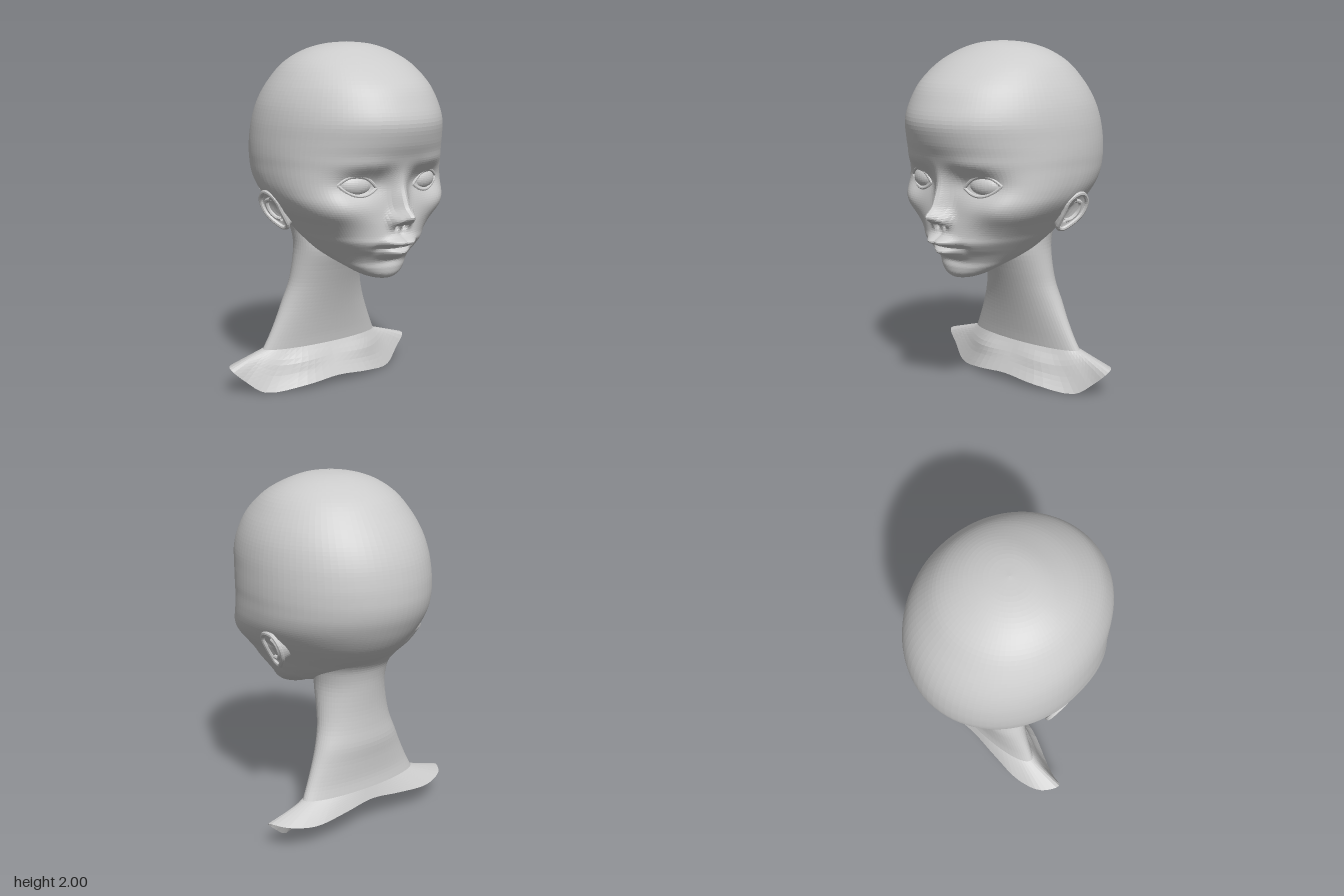
import * as THREE from 'three';

const CX = 0.025; // the head sits slightly off the neck axis
const V = (x, y, z) => new THREE.Vector3(x, y, z);
const mat = new THREE.MeshStandardMaterial({ color: 0xcccccc, flatShading: true, side: THREE.DoubleSide });
const bell = (v, c, s) => Math.exp(-0.5 * ((v - c) / s) ** 2);

// Skin a list of closed rings (top ring first, points running from front to +x)
function loft(name, rings) {
  const n = rings[0].length, pos = [], idx = [];
  rings.forEach(r => r.forEach(p => pos.push(p.x, p.y, p.z)));
  for (let i = 0; i < rings.length - 1; i++) {
    for (let j = 0; j < n; j++) {
      const k = (j + 1) % n, a = i * n + j, b = a + n, c = i * n + k, d = c + n;
      idx.push(a, b, c, b, d, c);
    }
  }
  const g = new THREE.BufferGeometry();
  g.setAttribute('position', new THREE.Float32BufferAttribute(pos, 3));
  g.setIndex(idx);
  g.computeVertexNormals();
  const m = new THREE.Mesh(g, mat);
  m.name = name;
  return m;
}

// Smoothly subdivide rows of section values
function refine(rows, k) {
  const out = [], at = i => rows[Math.max(0, Math.min(rows.length - 1, i))];
  for (let i = 0; i < rows.length - 1; i++) {
    for (let s = 0; s < k; s++) {
      const t = s / k;
      out.push(rows[i].map((p1, c) => {
        const p0 = at(i - 1)[c], p2 = at(i + 1)[c], p3 = at(i + 2)[c];
        return p1 + 0.5 * t * (p2 - p0 + t * (2 * p0 - 5 * p1 + 4 * p2 - p3 + t * (3 * (p1 - p2) + p3 - p0)));
      }));
    }
  }
  out.push(rows[rows.length - 1]);
  return out;
}

function tube(name, points, radius, closed) {
  const curve = new THREE.CatmullRomCurve3(points, closed);
  const m = new THREE.Mesh(new THREE.TubeGeometry(curve, 40, radius, 8, closed), mat);
  m.name = name;
  return m;
}

// Forward relief of the face at distance dx from the midline
function relief(dx, y) {
  const spot = (x, h, sx, sy, amp) => amp * bell(dx, x, sx) * bell(y, h, sy);
  return spot(0, 1.11, 0.032, y > 1.11 ? 0.095 : 0.04, 0.085)  // nose bridge
    + spot(0, 1.075, 0.036, 0.026, 0.062)                      // nose tip
    + spot(0.052, 1.06, 0.018, 0.024, 0.04)                    // nose wings
    + spot(0.026, 1.03, 0.012, 0.012, -0.03)                   // nostrils
    + spot(0.23, 1.255, 0.095, 0.055, -0.055)                  // eye sockets
    + spot(0.11, 1.27, 0.035, 0.05, -0.015)                    // inner eye corners
    + spot(0.22, 1.365, 0.11, 0.03, 0.01)                      // brows
    + spot(0.36, 1.13, 0.08, 0.06, 0.03)                       // cheekbones
    + spot(0.22, 0.99, 0.07, 0.06, -0.015)                     // cheek hollows
    + spot(0, 0.99, 0.014, 0.025, -0.01)                       // philtrum
    + spot(0.025, 0.945, 0.045, 0.018, 0.058)                  // upper lip
    + spot(0, 0.878, 0.052, 0.022, 0.056)                      // lower lip
    + spot(0, 0.912, 0.06, 0.009, -0.03)                       // mouth line
    + spot(0.115, 0.91, 0.02, 0.02, -0.01)                     // mouth corners
    + spot(0, 0.835, 0.05, 0.015, -0.012);                     // chin crease
}

function makeHead() {
  // y, half width, front z, back z, z of the widest point
  const rows = [
    [2, 0.001, 0.002, -0.002, 0], [1.988, 0.13, 0.12, -0.13, 0], [1.95, 0.255, 0.225, -0.25, 0],
    [1.88, 0.36, 0.36, -0.37, 0], [1.78, 0.436, 0.485, -0.465, -0.01], [1.68, 0.483, 0.55, -0.535, -0.02],
    [1.58, 0.507, 0.585, -0.58, -0.03], [1.48, 0.517, 0.565, -0.603, -0.04], [1.4, 0.52, 0.53, -0.61, -0.04],
    [1.34, 0.517, 0.508, -0.608, -0.04], [1.28, 0.513, 0.493, -0.595, -0.03], [1.22, 0.503, 0.48, -0.57, 0],
    [1.16, 0.482, 0.472, -0.538, 0.05], [1.1, 0.445, 0.475, -0.495, 0.08], [1.04, 0.395, 0.485, -0.435, 0.09],
    [0.98, 0.347, 0.495, -0.36, 0.1], [0.94, 0.318, 0.5, -0.31, 0.11], [0.9, 0.287, 0.475, -0.24, 0.12],
    [0.86, 0.255, 0.44, -0.15, 0.13], [0.82, 0.215, 0.42, -0.02, 0.17], [0.785, 0.175, 0.42, 0.13, 0.23],
    [0.75, 0.125, 0.412, 0.19, 0.28], [0.725, 0.065, 0.385, 0.25, 0.31], [0.715, 0.001, 0.326, 0.324, 0.325],
  ];
  const half = 56;
  return loft('head', refine(rows, 5).map(([y, w, zf, zb, zc]) => {
    const e = 2 / (2 + 0.6 * bell(y, 1.16, 0.15)); // the face is flatter than the skull
    return Array.from({ length: half * 2 }, (_, j) => {
      const u = j <= half ? j / half : j / half - 2;  // points crowd towards the front
      const a = Math.PI * Math.sign(u) * Math.abs(u) ** 1.35;
      const s = Math.sin(a), c = Math.cos(a), f = c > 0 ? e : 1;
      const x = w * Math.sign(s) * Math.abs(s) ** f;
      const z = c > 0 ? zc + (zf - zc) * c ** f + relief(Math.abs(x), y) * Math.min(1, c * 4) : zc + (zc - zb) * c;
      return V(CX + x, y, z);
    });
  }));
}

function makeNeck() {
  // y, half width, front z, back z; the top flares into the base of the skull
  const rows = [
    [1.16, 0.36, -0.06, -0.51], [1.09, 0.31, -0.03, -0.475], [1.02, 0.262, 0, -0.405], [0.96, 0.235, 0.015, -0.355],
    [0.9, 0.222, 0.025, -0.335], [0.82, 0.217, 0.025, -0.325], [0.7, 0.228, -0.02, -0.32], [0.6, 0.245, -0.055, -0.325],
    [0.5, 0.28, -0.085, -0.335], [0.4, 0.32, -0.11, -0.33], [0.3, 0.365, -0.13, -0.33], [0.23, 0.4, -0.14, -0.34],
  ];
  const n = 64;
  const rings = refine(rows, 4).map(([y, w, zf, zb]) => Array.from({ length: n }, (_, j) => {
    const a = j / n * Math.PI * 2;
    return V(w * Math.sin(a), y, (zf + zb) / 2 + (zf - zb) / 2 * Math.cos(a));
  }));

  // Open lower edge of the shoulders, front to back, then mirrored
  const edge = [
    V(0, 0.05, -0.04), V(0.22, 0.03, -0.05), V(0.45, 0.005, -0.14), V(0.55, 0.075, -0.185), V(0.63, 0.155, -0.22),
    V(0.57, 0.15, -0.32), V(0.42, 0.13, -0.372), V(0.2, 0.145, -0.37), V(0, 0.165, -0.36),
  ];
  const mirrored = edge.slice(1, -1).reverse().map(p => V(-p.x, p.y, p.z));
  const rim = new THREE.CatmullRomCurve3([...edge, ...mirrored], true);
  const base = rings[rings.length - 1];
  for (let i = 1; i <= 8; i++) {
    const t = i / 8;
    rings.push(base.map((p, j) => {
      const q = p.clone().lerp(rim.getPoint(j / n), t);
      q.z += 0.015 * bell(t, 0.35, 0.15) * bell(Math.abs(q.x), 0.22, 0.1) * (p.z > -0.24 ? 1 : 0); // collarbones
      return q;
    }));
  }
  return loft('neckAndShoulders', rings);
}

function makeEye(s) {
  const g = new THREE.Group();
  g.name = s > 0 ? 'leftEye' : 'rightEye';
  const ball = new THREE.Mesh(new THREE.SphereGeometry(1, 28, 18), mat);
  ball.name = 'eyeball';
  ball.scale.set(0.095, 0.058, 0.05);
  ball.rotation.y = s * 0.25;
  ball.position.set(CX + s * 0.23, 1.255, 0.384);
  g.add(ball);
  // Upper and lower lids follow an almond outline, outer corner a little higher
  for (const [name, h] of [['upperLid', 0.06], ['lowerLid', -0.05]]) {
    const pts = Array.from({ length: 9 }, (_, i) => {
      const d = -1 + i / 4;
      return V(CX + s * (0.23 + 0.105 * d), 1.25 + 0.012 * d + h * (1 - d * d), 0.421 - 0.03 * d - 0.015 * d * d);
    });
    g.add(tube(name, pts, 0.009, false));
  }
  return g;
}

function makeEar(s) {
  const g = new THREE.Group();
  g.name = s > 0 ? 'leftEar' : 'rightEar';
  // Local: distance back, up and out; the ear leans outwards towards its top
  const at = (back, up, out) => V(CX + s * (0.42 + 0.45 * up + out), 1.08 + up, -0.08 - back);
  const outline = [
    [-0.075, 0.01, 0.02], [-0.07, 0.065, 0.02], [-0.02, 0.1, 0.02], [0.045, 0.095, 0.02], [0.088, 0.045, 0.03],
    [0.078, -0.02, 0.035], [0.03, -0.07, 0.03], [-0.025, -0.1, 0.015], [-0.065, -0.085, 0.01], [-0.075, -0.04, 0.015],
  ];
  const pts = outline.map(p => at(...p));
  const rim = new THREE.CatmullRomCurve3(pts, true).getPoints(40).slice(0, 40);
  g.add(tube('earRim', pts, 0.013, true));
  const fold = [[0, 0.065, 0.01], [0.045, 0.045, 0.02], [0.045, -0.01, 0.025], [0.01, -0.045, 0.02], [-0.035, -0.05, 0.015]];
  g.add(tube('innerFold', fold.map(p => at(...p)), 0.012, false));

  // Hollow bowl in front, tapering back wall behind
  const mid = at(-0.01, 0, 0);
  const scaled = (k, dx) => rim.map(p => V(0, 0, 0).lerpVectors(mid, p, k).add(V(s * dx, 0, 0)));
  g.add(loft('earBowl', [0.01, 0.3, 0.55, 0.8, 1].map(k => scaled(k, -0.02 * k * (1 - k)))));
  g.add(loft('earBack', [scaled(1, 0), scaled(0.85, -0.035), scaled(0.7, -0.09)]));
  return g;
}

export function createModel() {
  const model = new THREE.Group();
  model.name = 'headBust';
  model.add(makeHead(), makeNeck());
  for (const s of [1, -1]) model.add(makeEye(s), makeEar(s));
  return model;
}
